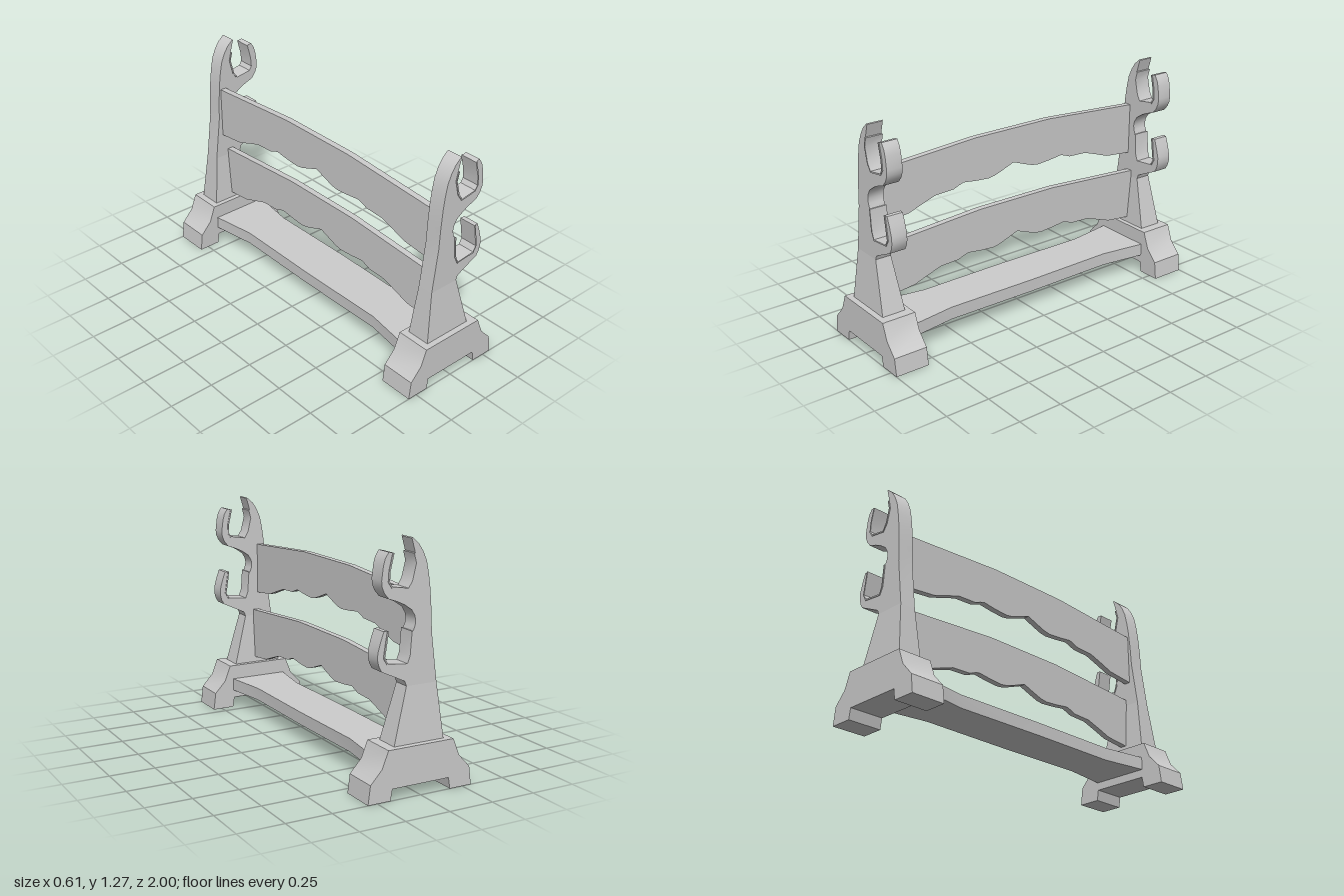
import * as THREE from 'three';
import { toCreasedNormals } from 'three/addons/utils/BufferGeometryUtils.js';

const material = new THREE.MeshStandardMaterial({ color: 0xcccccc });

// Extrude an outline, centred on its own depth
function slab(points, depth) {
  const shape = new THREE.Shape(points.map(([x, y]) => new THREE.Vector2(x, y)));
  return new THREE.ExtrudeGeometry(shape, { depth, bevelEnabled: false }).translate(0, 0, -depth / 2);
}

function part(name, geometry) {
  const mesh = new THREE.Mesh(toCreasedNormals(geometry, 0.6), material);
  mesh.name = name;
  return mesh;
}

// Complete an outline by mirroring its u >= 0 half
const mirrored = (half) => [...half, ...half.filter(([u]) => u > 0).reverse().map(([u, v]) => [-u, v])];

const POST_Z = 0.9, POST_DEPTH = 0.09, NECK_Y = 0.55;

// Inner faces of the two cradles, from the post round to the tip of the hook
const upperCradle = [[0.02, 1.2], [0.007, 1.15], [0.028, 1.065], [0.055, 1.025], [0.15, 1.04], [0.17, 1.07], [0.167, 1.125], [0.147, 1.21]];
const lowerCradle = [[0.025, 0.82], [0.034, 0.7], [0.055, 0.655], [0.17, 0.667], [0.192, 0.705], [0.172, 0.835]];

const postOutline = [
  [-0.117, NECK_Y], [-0.084, 0.8], [-0.079, 0.91], [-0.07, 1.02], [-0.06, 1.09], [-0.047, 1.155],
  [-0.025, 1.205], [0, 1.243], [0.037, 1.275], [0.04, 1.27],
  ...upperCradle,
  [0.168, 1.214], [0.187, 1.185], [0.197, 1.15], [0.206, 1.08], [0.203, 1.05], [0.19, 1.02], [0.165, 0.99],
  [0.115, 0.972], [0.075, 0.953], [0.034, 0.925], [0.016, 0.895], [0.011, 0.87], [0.014, 0.845],
  ...lowerCradle,
  [0.19, 0.835], [0.208, 0.785], [0.223, 0.73], [0.223, 0.695], [0.215, 0.665], [0.2, 0.638],
  [0.067, 0.575], [0.058, NECK_Y],
];

const footOutline = mirrored([
  [0.165, 0.06], [0.175, 0], [0.303, 0], [0.29, 0.1], [0.225, 0.17], [0.19, 0.26],
]);

// Thin strip following a cradle, offset inwards
function liner(path) {
  const points = path.map(([x, y]) => new THREE.Vector2(x, y));
  const inner = points.map((p, i) => {
    const a = points[Math.max(i - 1, 0)], b = points[Math.min(i + 1, points.length - 1)];
    const t = b.clone().sub(a).normalize();
    return [p.x - t.y * 0.008, p.y + t.x * 0.008];
  });
  return slab([...path, ...inner.reverse()], POST_DEPTH + 0.008);
}

// Lower post, flaring in thickness towards the foot
function flaredPost() {
  const geometry = slab([[-0.152, 0.255], [0.139, 0.255], [0.058, NECK_Y], [-0.117, NECK_Y]], POST_DEPTH);
  const pos = geometry.attributes.position;
  for (let i = 0; i < pos.count; i++) {
    if (pos.getY(i) < 0.3) pos.setZ(i, pos.getZ(i) * 1.5);
  }
  geometry.computeVertexNormals();
  return geometry;
}

// Arched rail with a scalloped lower edge, running along z
function rail() {
  const end = POST_Z - 0.02;
  const outline = mirrored([
    [0, 0.83], [0.08, 0.8], [0.13, 0.783], [0.17, 0.777], [0.25, 0.783], [0.335, 0.794], [0.365, 0.785],
    [0.4, 0.771], [0.515, 0.766], [0.6, 0.738], [0.685, 0.708], [0.76, 0.7], [end, 0.688],
    [end, 0.986], [0.55, 1.008], [0.25, 1.028], [0, 1.031],
  ].slice(0, -1));
  return slab(outline, 0.036).rotateY(-Math.PI / 2);
}

// Bottom plank, waisted in the middle
function shelf() {
  const outline = [
    [-0.172, -0.82], [-0.128, -0.54], [-0.134, 0], [-0.128, 0.54], [-0.172, 0.82],
    [0.172, 0.82], [0.132, 0.54], [0.138, 0], [0.132, -0.54], [0.172, -0.82],
  ];
  return slab(outline, 0.072).rotateX(Math.PI / 2).translate(0, 0.141, 0);
}

function createEnd(name) {
  const end = new THREE.Group();
  end.name = name;
  end.add(
    part('upperPost', slab(postOutline, POST_DEPTH)),
    part('lowerPost', flaredPost()),
    part('upperCradleLiner', liner(upperCradle)),
    part('lowerCradleLiner', liner(lowerCradle)),
    part('foot', slab(footOutline, 0.195).translate(0, 0, 0.0025)),
  );
  return end;
}

export function createModel() {
  const model = new THREE.Group();
  model.name = 'displayStand';

  // Matching ends; the hooks face +x on both
  for (const side of [1, -1]) {
    const end = createEnd(side > 0 ? 'frontEnd' : 'backEnd');
    end.position.z = side * POST_Z;
    end.children.find((c) => c.name === 'foot').position.z = side > 0 ? 0 : -0.005;
    model.add(end);
  }

  const upperRail = part('upperRail', rail());
  upperRail.position.x = -0.045;
  const lowerRail = part('lowerRail', rail());
  lowerRail.position.set(-0.013, -0.402, 0);
  model.add(upperRail, lowerRail, part('shelf', shelf()));
  return model;
}
